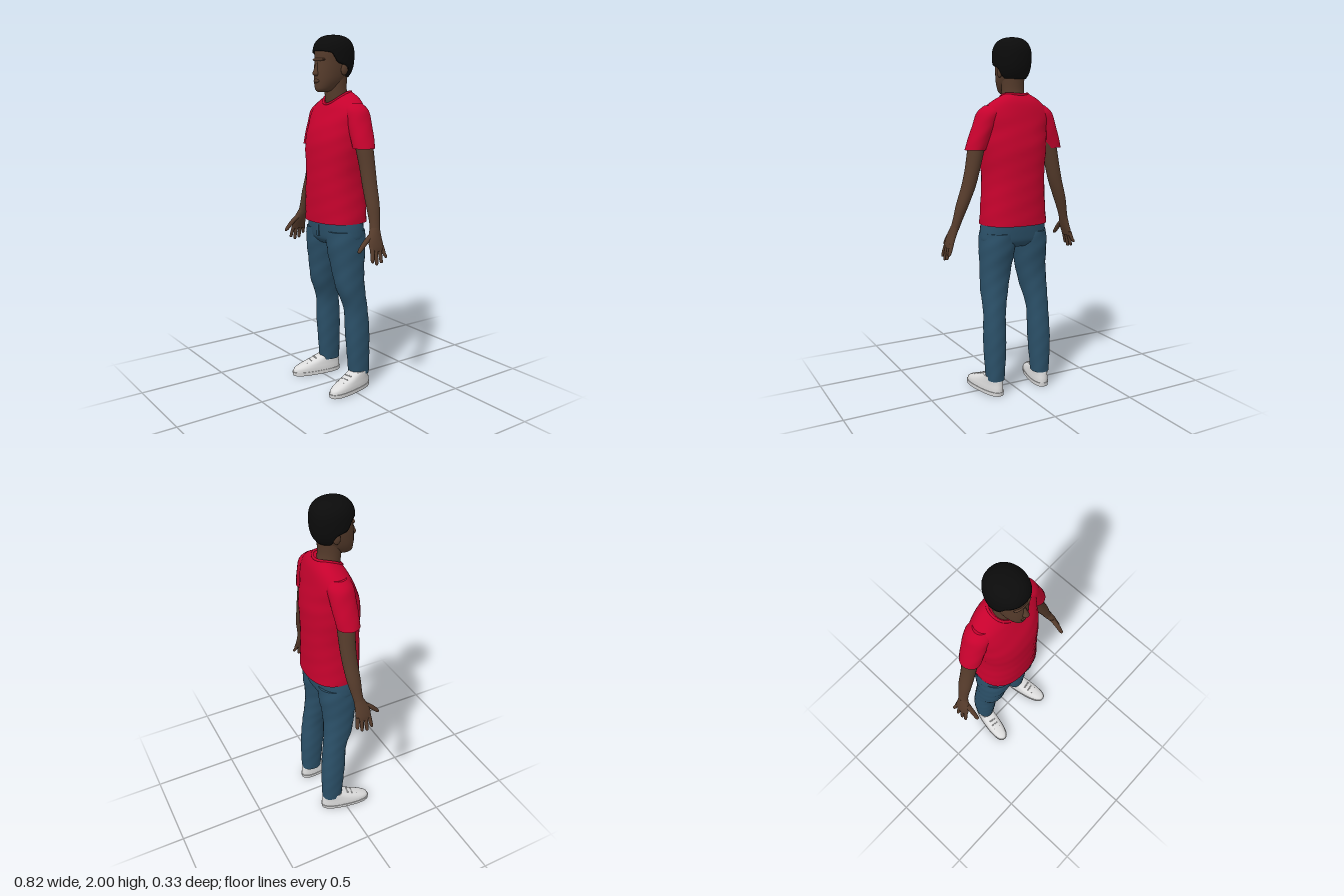
import * as THREE from 'three';

const flat = (name, color) => Object.assign(new THREE.MeshStandardMaterial({ color }), { name });

// Closed surface from rows of points; rows rise, columns run around y
function surface(rows, cols, point) {
  const pos = [], idx = [];
  for (let i = 0; i < rows; i++)
    for (let j = 0; j < cols; j++) pos.push(...point(i, (j / cols) * Math.PI * 2));
  for (let i = 0; i < rows - 1; i++)
    for (let j = 0; j < cols; j++) {
      const k = (j + 1) % cols, a = i * cols + j, b = a + cols, c = i * cols + k, d = c + cols;
      idx.push(a, b, c, b, d, c);
    }
  const g = new THREE.BufferGeometry();
  g.setAttribute('position', new THREE.Float32BufferAttribute(pos, 3));
  g.setIndex(idx);
  g.computeVertexNormals();
  return g;
}

// Smoothly interpolated sections: [y, centre x, centre z, half width, half depth, tilt, side lift]
function loft(sections, { cols = 28, power = 2, fold = 0, steps = 5 } = {}) {
  const s = sections.map(q => [...q, 0, 0].slice(0, 7)), n = s.length, rings = [];
  for (let i = 0; i < n - 1; i++) {
    const [a, b, c, d] = [s[Math.max(i - 1, 0)], s[i], s[i + 1], s[Math.min(i + 2, n - 1)]];
    for (let k = 0; k < steps; k++) {
      const t = k / steps;
      rings.push(b.map((p, m) => p + 0.5 * t * (c[m] - a[m] + t * (2 * a[m] - 5 * p + 4 * c[m] - d[m]
        + t * (3 * (p - c[m]) + d[m] - a[m])))));
    }
  }
  rings.push(s[n - 1]);
  // Doubled end rings keep the cap edges crisp
  const shrink = r => [r[0], r[1], r[2], 0, 0, 0, 0];
  const all = [shrink(rings[0]), rings[0], ...rings, s[n - 1], shrink(s[n - 1])];
  const bend = v => Math.sign(v) * Math.abs(v) ** (2 / power);
  return surface(all.length, cols, (i, a) => {
    const [y, cx, cz, rx, rz, tilt, lift] = all[i];
    const f = 1 + fold * Math.sin(3 * a + y * 42) * Math.sin(y * 23 + a);
    const dx = rx * f * bend(Math.cos(a)), dz = rz * f * bend(Math.sin(a));
    return [cx + dx, y + tilt * dz + lift * Math.cos(a) ** 2, cz + dz];
  });
}

export function createModel() {
  const skin = flat('skin', 0x553b2b), red = flat('red cotton', 0xc6022d), denim = flat('denim', 0x2b5068);
  const black = flat('black hair', 0x0b0b0b), white = flat('white leather', 0xdcdcdc);
  const model = new THREE.Group();
  const MID = -0.012;
  const add = (name, geometry, material, parent = model) => {
    const m = new THREE.Mesh(geometry, material);
    m.name = name;
    parent.add(m);
    return m;
  };
  const blob = (name, material, x, y, z, rx, ry, rz) => {
    const m = add(name, new THREE.SphereGeometry(1, 18, 12), material);
    m.position.set(x, y, z);
    m.scale.set(rx, ry, rz);
    return m;
  };

  // Shirt body, with a collar that dips at the front
  add('shirtBody', loft([
    [0.975, MID, -0.012, 0.194, 0.153], [1.1, MID, -0.01, 0.186, 0.153], [1.25, MID, -0.01, 0.178, 0.153],
    [1.4, MID, -0.012, 0.192, 0.151], [1.5, MID, -0.017, 0.196, 0.132], [1.585, MID, -0.03, 0.2, 0.105, 0, 0.01],
    [1.632, MID, -0.03, 0.145, 0.092, -0.2, 0.02], [1.66, MID, -0.022, 0.078, 0.076, -0.42, 0.025],
  ], { cols: 40, power: 2.25, fold: 0.012 }), red);
  const collarPoints = Array.from({ length: 24 }, (_, i) => {
    const a = (i / 24) * Math.PI * 2, dz = 0.076 * Math.sin(a);
    return new THREE.Vector3(MID + 0.078 * Math.cos(a), 1.66 - 0.42 * dz + 0.025 * Math.cos(a) ** 2, dz - 0.022);
  });
  add('collar', new THREE.TubeGeometry(new THREE.CatmullRomCurve3(collarPoints, true), 48, 0.007, 8, true), red);

  // Neck and head
  add('neck', loft([
    [1.6, MID, -0.03, 0.072, 0.066], [1.66, MID, -0.018, 0.066, 0.064],
    [1.72, MID, -0.01, 0.062, 0.062], [1.8, MID, -0.012, 0.064, 0.068],
  ]), skin);
  add('head', loft([
    [1.694, MID, 0.075, 0.022, 0.03], [1.708, MID, 0.062, 0.043, 0.055], [1.75, MID, 0.036, 0.064, 0.085],
    [1.8, MID, 0.016, 0.075, 0.104], [1.86, MID, 0.008, 0.081, 0.106],
    [1.92, MID, 0.005, 0.084, 0.105], [1.965, MID, 0.004, 0.06, 0.075],
  ], { cols: 32, power: 2.2 }), skin);
  add('nose', loft([
    [1.778, MID, 0.112, 0.014, 0.016], [1.79, MID, 0.116, 0.019, 0.025],
    [1.815, MID, 0.113, 0.012, 0.019], [1.85, MID, 0.106, 0.009, 0.012],
  ], { cols: 14 }), skin);
  blob('lips', skin, MID, 1.752, 0.116, 0.025, 0.011, 0.011);
  blob('chin', skin, MID, 1.715, 0.1, 0.026, 0.016, 0.019);
  blob('brow', skin, MID, 1.866, 0.1, 0.056, 0.011, 0.018);
  for (const s of [-1, 1])
    blob(s > 0 ? 'leftEar' : 'rightEar', skin, MID + s * 0.082, 1.815, -0.012, 0.012, 0.033, 0.022).rotation.x = -0.15;

  // Hair: a rounded cap whose lower edge drops from forehead to nape
  const edge = [[-0.12, 1.775], [-0.05, 1.778], [-0.025, 1.835], [0.04, 1.85], [0.07, 1.9], [0.13, 1.915]];
  const hairline = z => {
    const k = Math.max(1, edge.findIndex(e => e[0] >= z)), [z0, y0] = edge[k - 1], [z1, y1] = edge[k];
    return y0 + (y1 - y0) * (z - z0) / (z1 - z0);
  };
  add('hair', surface(20, 48, (i, a) => {
    const c = Math.cos(a), z = Math.sin(a), low = hairline(z * 0.115);
    const t = Math.max(0, i - 1) / 18, y = low + (2 - low) * Math.sin(t * Math.PI / 2);
    const h = Math.abs(y - 1.895) / (y > 1.895 ? 0.105 : 0.15);
    const r = Math.max(0, 1 - h ** 2.5) ** 0.4 * (i === 0 ? 0.75 : 1);
    return [MID + 0.105 * r * Math.sign(c) * Math.abs(c) ** 0.9, y, 0.003 + 0.117 * r * z];
  }), black);

  // Jeans seat
  add('jeansSeat', loft([
    [0.85, MID, -0.01, 0.15, 0.085], [0.88, MID, -0.01, 0.195, 0.112],
    [0.93, MID, -0.01, 0.197, 0.121], [0.99, MID, -0.01, 0.188, 0.126],
  ], { cols: 36, power: 2.3 }), denim);
  add('flySeam', new THREE.BoxGeometry(0.022, 0.07, 0.008), denim).position.set(MID, 0.93, 0.11);

  for (const s of [-1, 1]) {
    const side = s > 0 ? 'left' : 'right';
    const mirror = (mid, list) => list.map(([y, x, ...rest]) => [y, mid + s * x, ...rest]);

    // Sleeve
    add(side + 'Sleeve', loft(mirror(MID, [
      [1.395, 0.241, -0.025, 0.057, 0.062, 0, 0], [1.45, 0.222, -0.028, 0.059, 0.066],
      [1.53, 0.19, -0.032, 0.061, 0.07], [1.595, 0.16, -0.034, 0.066, 0.069], [1.632, 0.135, -0.034, 0.05, 0.045],
    ]), { fold: 0.015 }), red);

    // Leg
    add(side + 'JeansLeg', loft(mirror(MID, [
      [0.085, 0.148, -0.07, 0.051, 0.06], [0.2, 0.147, -0.066, 0.058, 0.067], [0.33, 0.145, -0.06, 0.061, 0.073],
      [0.48, 0.14, -0.05, 0.063, 0.068], [0.6, 0.128, -0.022, 0.074, 0.086], [0.72, 0.114, -0.012, 0.087, 0.094],
      [0.85, 0.102, -0.01, 0.1, 0.112], [0.93, 0.098, -0.01, 0.096, 0.115],
    ]), { power: 2.2, fold: 0.025 }), denim);

    // Arm
    const arm = new THREE.Group();
    arm.name = side + 'Arm';
    model.add(arm);
    const limb = (name, list, cols) => add(name, loft(mirror(-0.004, list), { cols }), skin, arm);
    limb(side + 'Forearm', [
      [0.96, 0.356, -0.008, 0.023, 0.028], [1.02, 0.338, -0.017, 0.026, 0.031], [1.1, 0.313, -0.025, 0.034, 0.039],
      [1.2, 0.278, -0.031, 0.039, 0.042], [1.29, 0.255, -0.033, 0.041, 0.045], [1.4, 0.23, -0.03, 0.046, 0.05],
      [1.47, 0.21, -0.03, 0.045, 0.05],
    ], 22);
    limb(side + 'Palm', [
      [0.865, 0.387, 0.002, 0.014, 0.042], [0.89, 0.381, 0.003, 0.018, 0.046],
      [0.93, 0.368, 0.002, 0.022, 0.042], [0.985, 0.35, -0.011, 0.023, 0.028],
    ], 20);
    [[0.034, 0.045, 0.808], [0.012, 0.017, 0.793], [-0.011, -0.014, 0.8], [-0.032, -0.044, 0.825]]
      .forEach(([zBase, zTip, yTip], i) => limb(side + 'Finger' + (i + 1), [
        [yTip, 0.405, zTip, 0.004, 0.004], [yTip + 0.008, 0.403, zTip, 0.009, 0.009],
        [0.85, 0.395, (zBase + zTip) / 2, 0.011, 0.011], [0.89, 0.382, zBase, 0.012, 0.013],
      ], 10));
    limb(side + 'Thumb', [
      [0.862, 0.364, 0.104, 0.006, 0.006], [0.872, 0.363, 0.098, 0.011, 0.013],
      [0.91, 0.362, 0.063, 0.014, 0.019], [0.95, 0.36, 0.015, 0.016, 0.022],
    ], 12);

    // Shoe, toes turned outward
    const shoe = new THREE.Group();
    shoe.name = side + 'Shoe';
    shoe.position.set(-0.01 + s * 0.17, 0, 0.013);
    shoe.rotation.y = s * 0.19;
    model.add(shoe);
    add('sole', loft([[0, 0, 0, 0.051, 0.152], [0.022, 0, 0, 0.053, 0.155]],
      { cols: 36, power: 2.5, steps: 1 }), white, shoe);
    add('upper', loft([
      [0.022, 0, 0, 0.05, 0.151], [0.042, 0, -0.004, 0.05, 0.146], [0.062, 0, -0.022, 0.048, 0.125],
      [0.082, 0, -0.05, 0.046, 0.094], [0.105, 0, -0.078, 0.044, 0.062],
    ], { cols: 36, power: 2.4 }), white, shoe);
    for (let i = 0; i < 3; i++) {
      const lace = add('lace', new THREE.CapsuleGeometry(0.004, 0.04, 4, 8), white, shoe);
      lace.rotation.z = Math.PI / 2;
      lace.position.set(0, 0.093 - i * 0.012, 0.012 + i * 0.028);
    }
  }
  return model;
}
